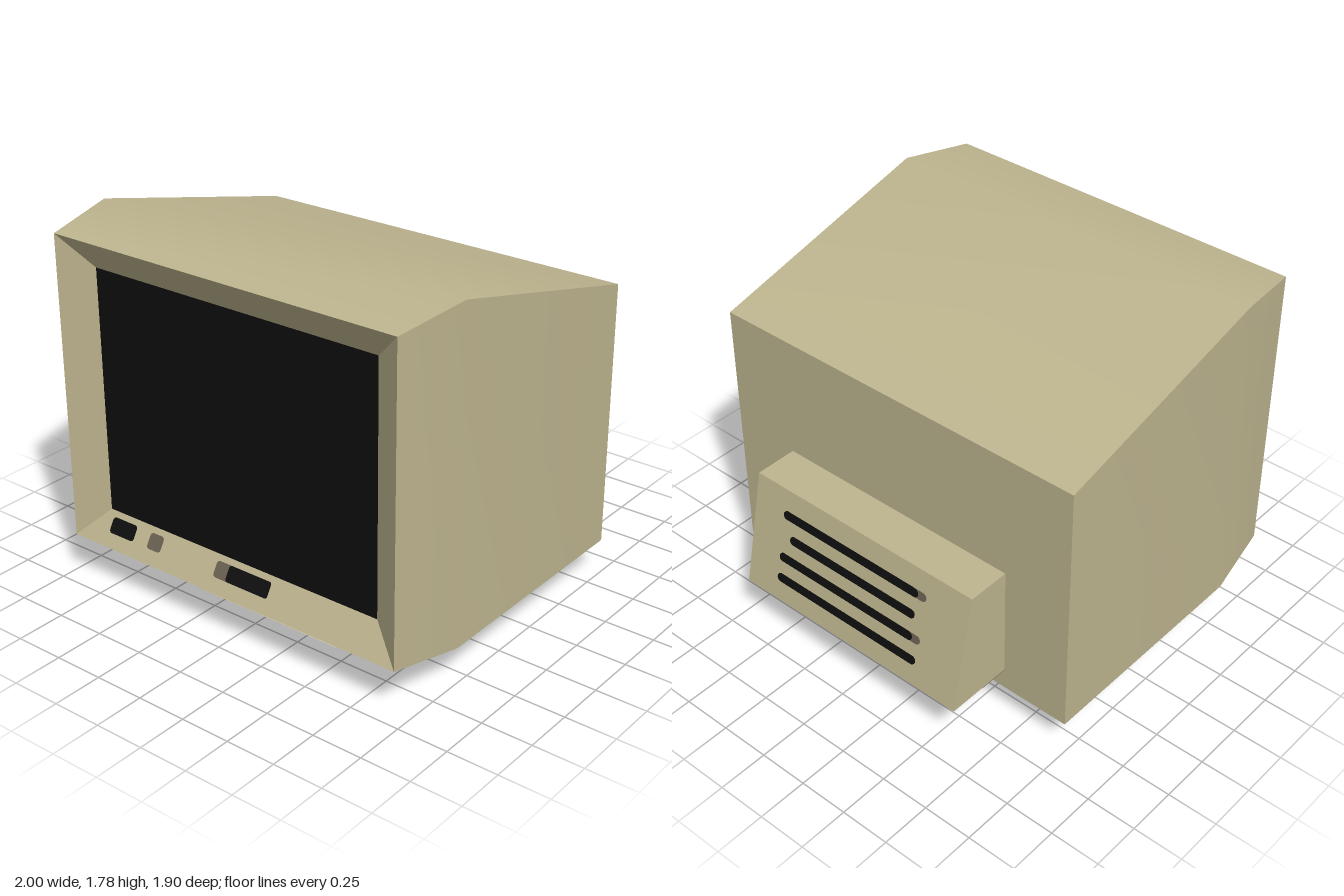
import * as THREE from 'three';
import { toCreasedNormals } from 'three/addons/utils/BufferGeometryUtils.js';

const material = (name, color) => {
  const m = new THREE.MeshStandardMaterial({ color });
  m.name = name;
  return m;
};

// Skins a list of convex rings, counter-clockwise when seen from the last ring's side.
function loft(rings, capEnd = true) {
  const pos = [];
  const tri = (a, b, c) => pos.push(...a, ...b, ...c);
  for (let r = 0; r < rings.length - 1; r++) {
    const a = rings[r], b = rings[r + 1];
    a.forEach((p, i) => {
      const j = (i + 1) % a.length;
      tri(p, a[j], b[j]);
      tri(p, b[j], b[i]);
    });
  }
  const first = rings[0], last = rings[rings.length - 1];
  for (let i = 1; i < first.length - 1; i++) {
    tri(first[0], first[i + 1], first[i]);
    if (capEnd) tri(last[0], last[i], last[i + 1]);
  }
  const g = new THREE.BufferGeometry();
  g.setAttribute('position', new THREE.Float32BufferAttribute(pos, 3));
  return toCreasedNormals(g, 0.6);
}

// Upright rectangle ring; its top and bottom edges may sit at different depths.
const rect = (w, y0, y1, z0, z1 = z0) =>
  [[-w, y0, z0], [w, y0, z0], [w, y1, z1], [-w, y1, z1]];

// Thin plate with rounded corners, facing +z.
function plate(x0, x1, y, height, radius, depth) {
  const y0 = y - height / 2, y1 = y + height / 2, r = radius;
  const s = new THREE.Shape();
  s.moveTo(x0 + r, y0);
  s.lineTo(x1 - r, y0);
  s.absarc(x1 - r, y0 + r, r, -Math.PI / 2, 0);
  s.lineTo(x1, y1 - r);
  s.absarc(x1 - r, y1 - r, r, 0, Math.PI / 2);
  s.lineTo(x0 + r, y1);
  s.absarc(x0 + r, y1 - r, r, Math.PI / 2, Math.PI);
  s.lineTo(x0, y0 + r);
  s.absarc(x0 + r, y0 + r, r, Math.PI, Math.PI * 1.5);
  return new THREE.ExtrudeGeometry(s, { depth, bevelEnabled: false, curveSegments: 5 });
}

export function createModel() {
  const model = new THREE.Group();
  model.name = 'monitor';
  const beige = material('beige plastic', 0xbeb58f);
  const black = material('black', 0x0d0e0d);
  const brown = material('dark taupe', 0x6a6152);

  const add = (name, geometry, mat, parent = model) => {
    const mesh = new THREE.Mesh(geometry, mat);
    mesh.name = name;
    parent.add(mesh);
    return mesh;
  };
  const group = (name, y, z, rx, ry = 0) => {
    const g = new THREE.Group();
    g.name = name;
    g.position.set(0, y, z);
    g.rotation.set(rx, ry, 0, 'YXZ');
    model.add(g);
    return g;
  };

  // Casing with tapered front rim and sloped bezel running in to the screen
  add('casing', loft([
    rect(1, 0.18, 1.485, -0.61),
    rect(1, 0.18, 1.785, 0.58),
    rect(0.94, 0.23, 1.735, 0.95),
    rect(0.783, 0.38, 1.585, 0.86),
  ], false), beige);
  add('screen', new THREE.PlaneGeometry(1.566, 1.205), black).position.set(0, 0.9825, 0.86);

  // Controls on the lower bezel slope
  const controls = group('frontControls', 0.305, 0.905, -Math.atan2(0.09, 0.15));
  const controlY = 0.02, controlH = 0.076;
  add('leftButton', plate(-0.75, -0.6, controlY, controlH, 0.016, 0.004), black, controls);
  add('indicator', plate(-0.51, -0.43, controlY, controlH, 0.016, 0.004), brown, controls);
  add('switchWell', plate(-0.1, 0.2, controlY, controlH, 0.016, 0.003), brown, controls);
  add('switch', plate(-0.025, 0.215, controlY, controlH, 0.012, 0.006), black, controls);

  // Rear housing with slanted back
  add('rearHousing', loft([
    rect(0.65, 0.29, 0.865, -0.95, -0.825),
    rect(0.65, 0.29, 0.865, -0.61),
  ]), beige);

  // Vent slots: position down the slope, +x end, -x end, has a taupe end
  const vents = group('ventSlots', 0.5775, -0.8875, -Math.atan2(0.125, 0.575), Math.PI);
  [
    [0.217, 0.465, -0.365, true],
    [0.408, 0.41, -0.36, false],
    [0.6, 0.465, -0.365, true],
    [0.79, 0.465, -0.4, false],
  ].forEach(([t, left, right, hasEnd]) => {
    const y = (0.5 - t) * 0.588;
    add('ventSlot', plate(-left, -right, y, 0.042, 0.02, 0.005), black, vents);
    if (hasEnd) add('ventSlotEnd', plate(-right - 0.05, -right + 0.045, y, 0.042, 0.02, 0.003), brown, vents);
  });

  // Connector panel and sockets under the rear housing
  const under = group('connectors', 0.29, 0, Math.PI / 2);
  add('connectorPanel', plate(-0.65, 0.65, -0.685, 0.15, 0.001, 0.003), brown, under);
  [[0.26, 0.49, 0.57], [-0.03, 0.13, 0.21], [-0.54, -0.19, -0.12]].forEach(([x0, x1, x2]) => {
    add('socketSurround', plate(x0 + 0.02, x2, -0.86, 0.1, 0.02, 0.003), brown, under);
    add('socket', plate(x0, x1, -0.86, 0.1, 0.02, 0.006), black, under);
  });

  // Swivel neck
  add('neck', new THREE.BoxGeometry(0.67, 0.08, 0.575), black).position.set(0, 0.142, 0.1475);

  // Tapered foot with its two front corners cut off
  const footRing = (y, w, back, front, cutX, cutZ) => [
    [-w, y, cutZ], [-cutX, y, front], [cutX, y, front],
    [w, y, cutZ], [w, y, back], [-w, y, back],
  ];
  add('foot', loft([
    footRing(0, 0.62, -0.335, 0.68, 0.41, 0.5),
    footRing(0.105, 0.54, -0.27, 0.58, 0.385, 0.45),
  ]), beige);

  return model;
}
